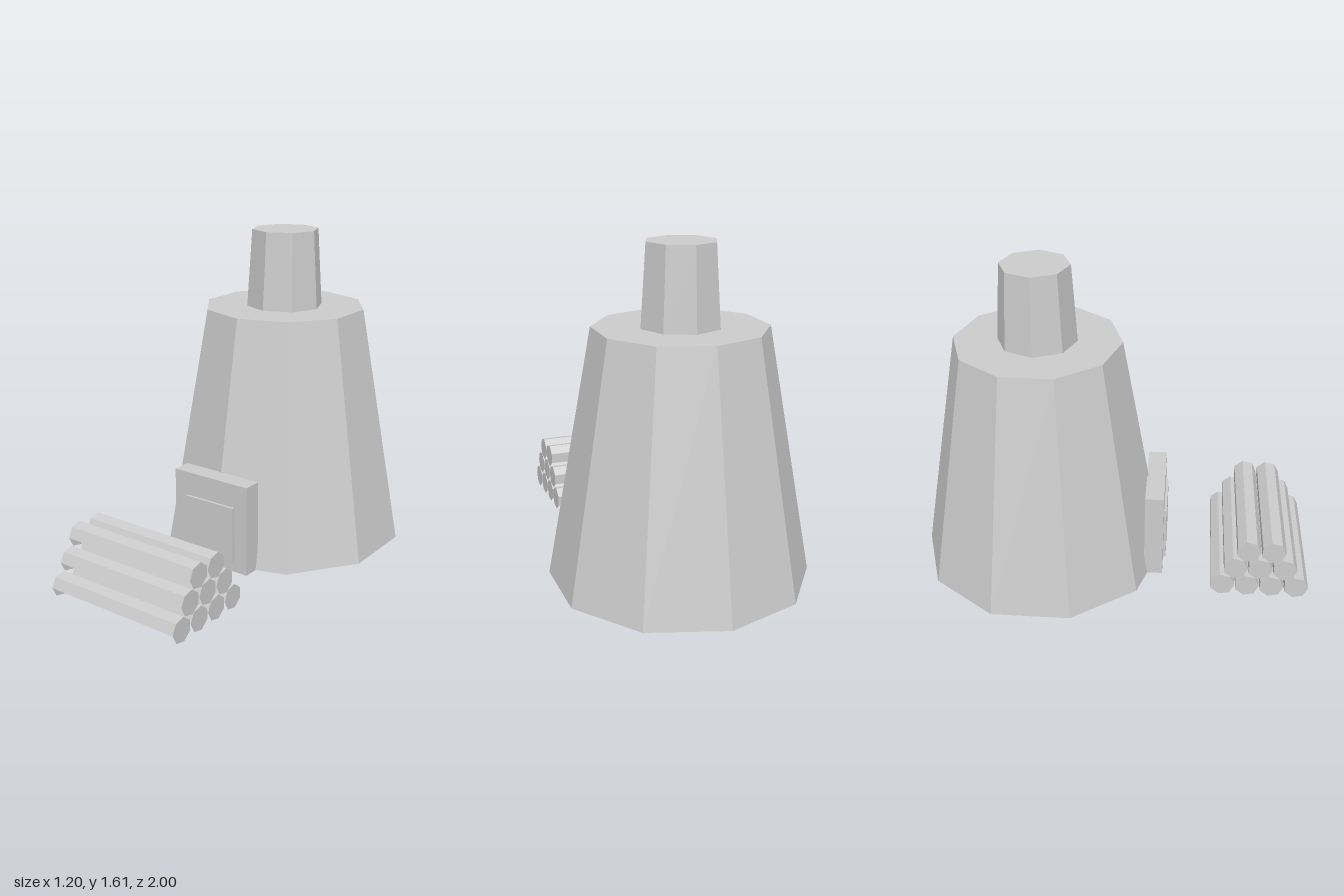
import * as THREE from 'three';

export function createModel() {
  const model = new THREE.Group();
  model.name = 'kilnWithLogs';

  const grey = new THREE.MeshStandardMaterial({
    color: 0xcccccc, flatShading: true, side: THREE.DoubleSide,
  });
  grey.name = 'plain grey';

  const add = (parent, name, geometry, x, y, z) => {
    const mesh = new THREE.Mesh(geometry, grey);
    mesh.name = name;
    mesh.position.set(x, y, z);
    parent.add(mesh);
    return mesh;
  };

  // Ten-sided hollow kiln body, open underneath, with a flat roof
  const kilnZ = -0.37, kilnHeight = 1.22, roofRadius = 0.413;
  add(model, 'kilnWall',
    new THREE.CylinderGeometry(roofRadius, 0.631, kilnHeight, 10, 1, true),
    0, kilnHeight / 2, kilnZ);
  const roof = new THREE.CircleGeometry(roofRadius, 10, Math.PI / 2).rotateX(-Math.PI / 2);
  add(model, 'kilnRoof', roof, 0, kilnHeight, kilnZ).rotation.y = Math.PI;

  // Eight-sided chimney
  add(model, 'chimney', new THREE.CylinderGeometry(0.17, 0.195, 0.39, 8), 0, 1.415, kilnZ);

  // Door frame block and thin door
  add(model, 'doorFrame', new THREE.BoxGeometry(0.44, 0.463, 0.095), 0, 0.2315, 0.2185);
  add(model, 'door', new THREE.BoxGeometry(0.292, 0.293, 0.014), 0, 0.1955, 0.273);

  // Seven-sided logs: bark covers only the four upper facets, ends are full
  const r = 0.0615, half = 0.364;
  const bark = new THREE.CylinderGeometry(r, r, half * 2, 4, 1, true, 0, (8 * Math.PI) / 7)
    .rotateZ(Math.PI / 2);
  const end = new THREE.CircleGeometry(r, 7).rotateY(-Math.PI / 2);
  const pile = new THREE.Group();
  pile.name = 'logPile';
  model.add(pile);
  for (let row = 0; row < 3; row++) {
    for (let i = 0; i < 4 - row; i++) {
      const log = new THREE.Group();
      log.name = 'log';
      log.position.set(0, 0.065 + row * 0.1045, 0.9385 - row * 0.0615 - i * 0.1225);
      add(log, 'logBark', bark, 0, 0, 0);
      for (const side of [-1, 1]) add(log, 'logEnd', end, side * half, 0, 0);
      pile.add(log);
    }
  }

  return model;
}
